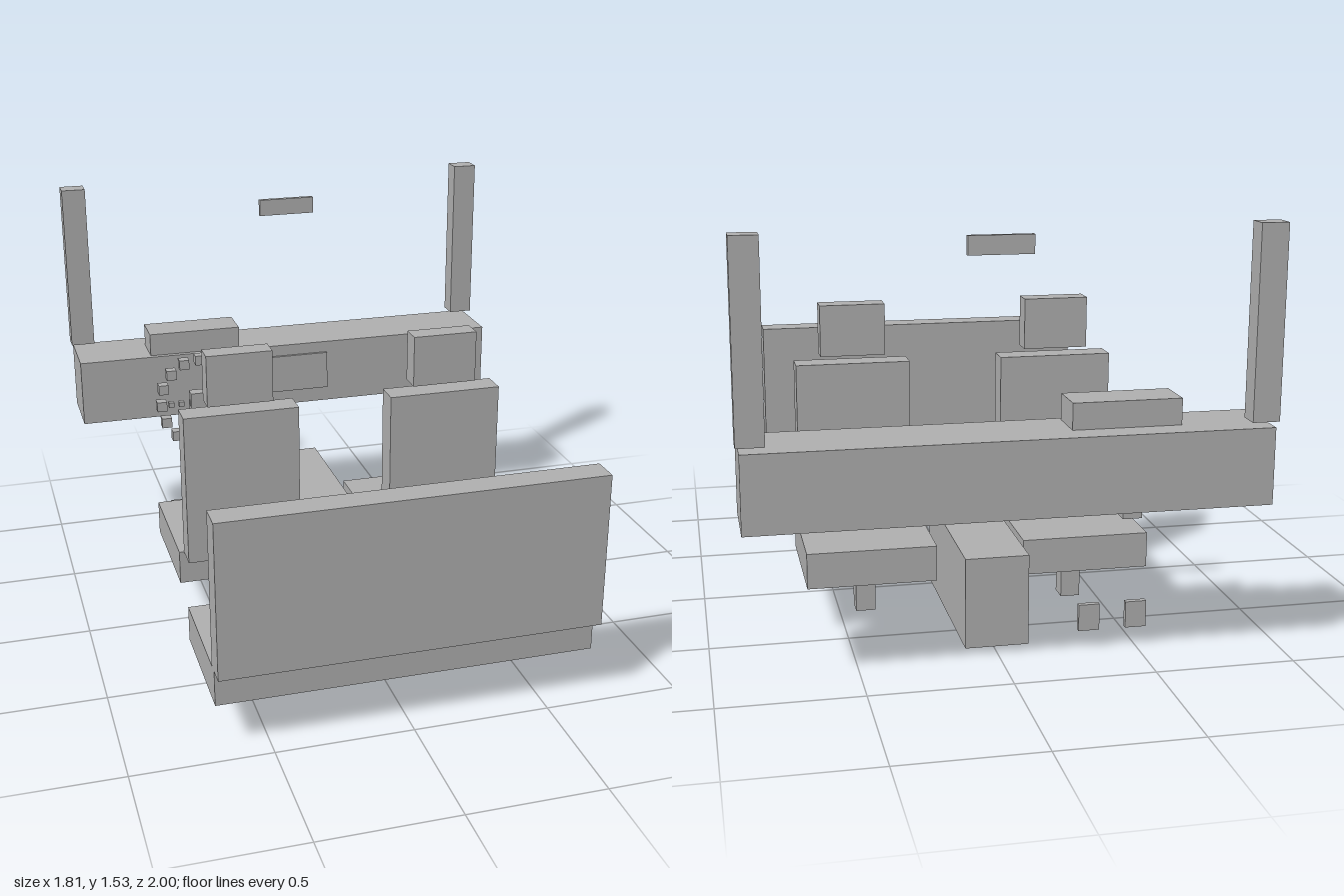
import * as THREE from 'three';

export function createModel() {
  const model = new THREE.Group();
  const grey = new THREE.MeshStandardMaterial({ color: 0xb0b0b0 });
  grey.name = 'grey';

  // Box from its limits on each axis
  function box(name, [x0, x1], [y0, y1], [z0, z1], parent = model) {
    const mesh = new THREE.Mesh(new THREE.BoxGeometry(x1 - x0, y1 - y0, z1 - z0), grey);
    mesh.position.set((x0 + x1) / 2, (y0 + y1) / 2, (z0 + z1) / 2);
    mesh.name = name;
    parent.add(mesh);
  }
  const around = (c, size) => [c - size / 2, c + size / 2];

  // Dashboard with instrument hood, screen and windscreen pillars
  box('dashboard', [-0.893, 0.893], [0.577, 0.847], [-1, -0.735]);
  box('instrumentHood', [-0.595, -0.213], [0.847, 0.94], [-0.905, -0.755]);
  box('screen', [-0.17, 0.17], [0.64, 0.80], [-0.735, -0.724]);
  for (const side of [-1, 1]) {
    box('pillar', around(side * 0.857, 0.095), [0.867, 1.535], [-1, -0.924]);
  }
  box('rearViewMirror', [-0.114, 0.114], [1.42, 1.486], [-0.76, -0.74]);

  // Centre console and pedals
  box('console', [-0.114, 0.114], [0.024, 0.355], [-0.73, -0.013]);
  for (const x of [-0.499, -0.327]) {
    box('pedal', around(x, 0.076), [0.07, 0.167], [-0.76, -0.74]);
  }

  // Front seats
  for (const side of [-1, 1]) {
    const seat = new THREE.Group();
    seat.name = 'frontSeat';
    const x = side * 0.401;
    box('seatCushion', around(x, 0.477), [0.177, 0.31], [-0.444, 0.035], seat);
    box('seatBack', around(x, 0.44), [0.31, 0.902], [0.035, 0.136], seat);
    box('headrest', around(x, 0.25), [0.932, 1.13], [0.037, 0.121], seat);
    box('seatPedestal', around(x, 0.074), [0, 0.177], [-0.241, -0.165], seat);
    model.add(seat);
  }

  // Rear bench
  box('benchCushion', [-0.688, 0.688], [0.177, 0.31], [0.475, 0.934]);
  box('benchBack', [-0.688, 0.688], [0.31, 0.885], [0.897, 1]);

  // Steering wheel: upright cubes on a tilted ring
  const wheel = new THREE.Group();
  wheel.name = 'steeringWheel';
  const tilt = 0.385;
  function wheelCube(name, angle, radius, size) {
    const up = Math.sin(angle) * radius;
    box(name, around(-0.403 + Math.cos(angle) * radius, size),
      around(0.675 + up * Math.cos(tilt), size),
      around(-0.608 - up * Math.sin(tilt), size), wheel);
  }
  for (let i = 0; i < 16; i++) wheelCube('rimSegment', i * Math.PI / 8, 0.179, 0.041);
  for (const angle of [0, Math.PI, -Math.PI / 2]) {
    for (const radius of [0.05, 0.095, 0.138]) wheelCube('spokeSegment', angle, radius, 0.022);
  }
  box('hub', around(-0.403, 0.115), around(0.675, 0.095), around(-0.608, 0.05), wheel);
  model.add(wheel);
  box('steeringColumn', around(-0.403, 0.066), [0.553, 0.625], [-0.985, -0.625]);

  return model;
}
